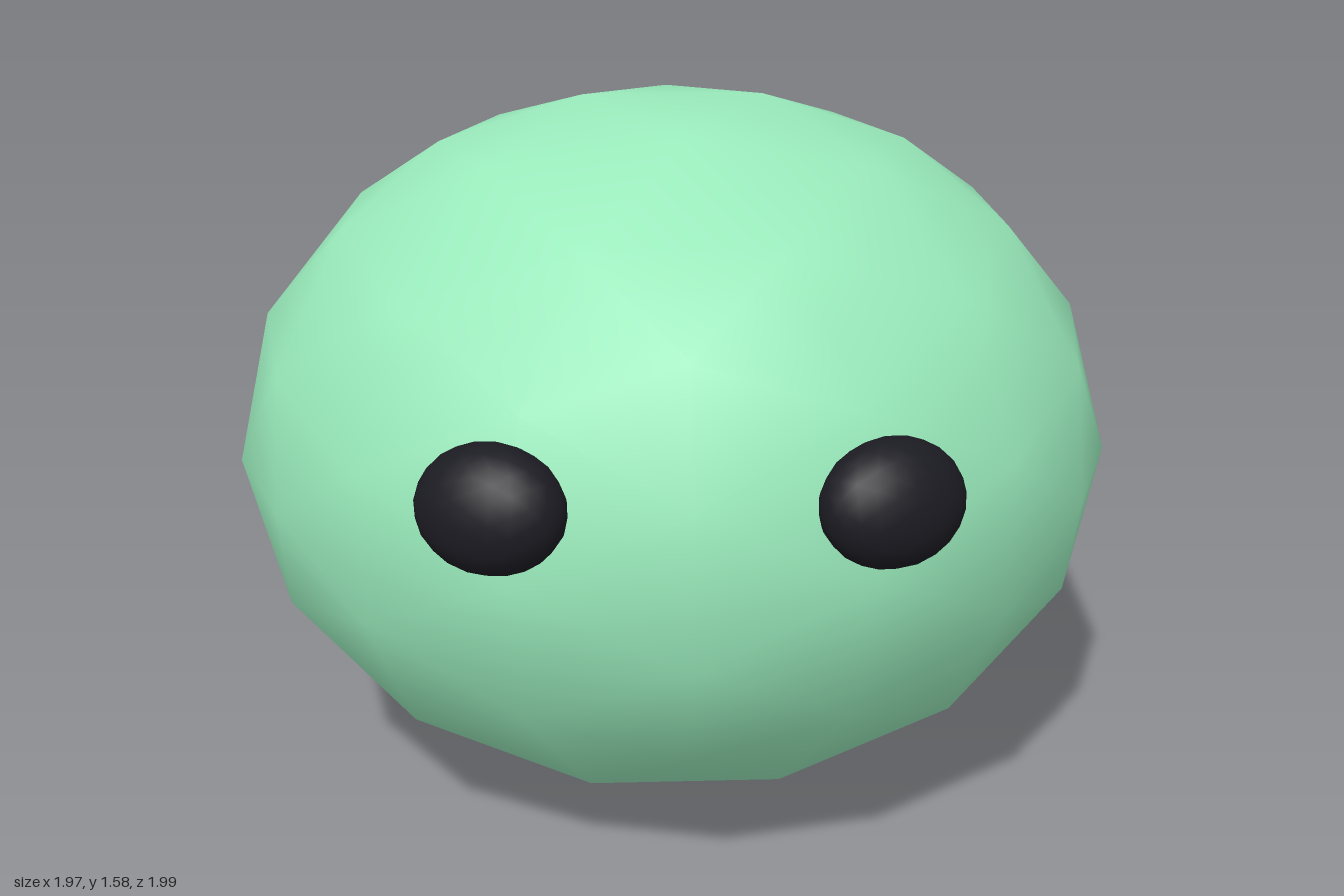
import * as THREE from 'three';

export function createModel() {
  const group = new THREE.Group();
  const bodyMaterial = new THREE.MeshStandardMaterial({ color: 0x99eabb });
  const eyeMaterial = new THREE.MeshStandardMaterial({ color: 0x1b1b22 });

  // Body: squashed, smooth-shaded coarse icosphere
  const body = new THREE.Mesh(new THREE.IcosahedronGeometry(1, 2), bodyMaterial);
  body.name = 'body';
  body.scale.set(1.008, 0.806, 1.008);
  body.position.set(0, 0.79, -0.0125);
  group.add(body);

  // Eyes: flattened beads lying against the body, turned outward and up
  const eyeGeometry = new THREE.IcosahedronGeometry(1, 3);
  for (const side of [1, -1]) {
    const eye = new THREE.Mesh(eyeGeometry, eyeMaterial);
    eye.name = side > 0 ? 'leftEye' : 'rightEye';
    eye.scale.set(0.156, 0.129, 0.1);
    eye.rotation.set(-0.26, side * 0.4, 0, 'YXZ');
    eye.position.set(side * 0.385, 0.94, 0.88);
    group.add(eye);
  }
  return group;
}
